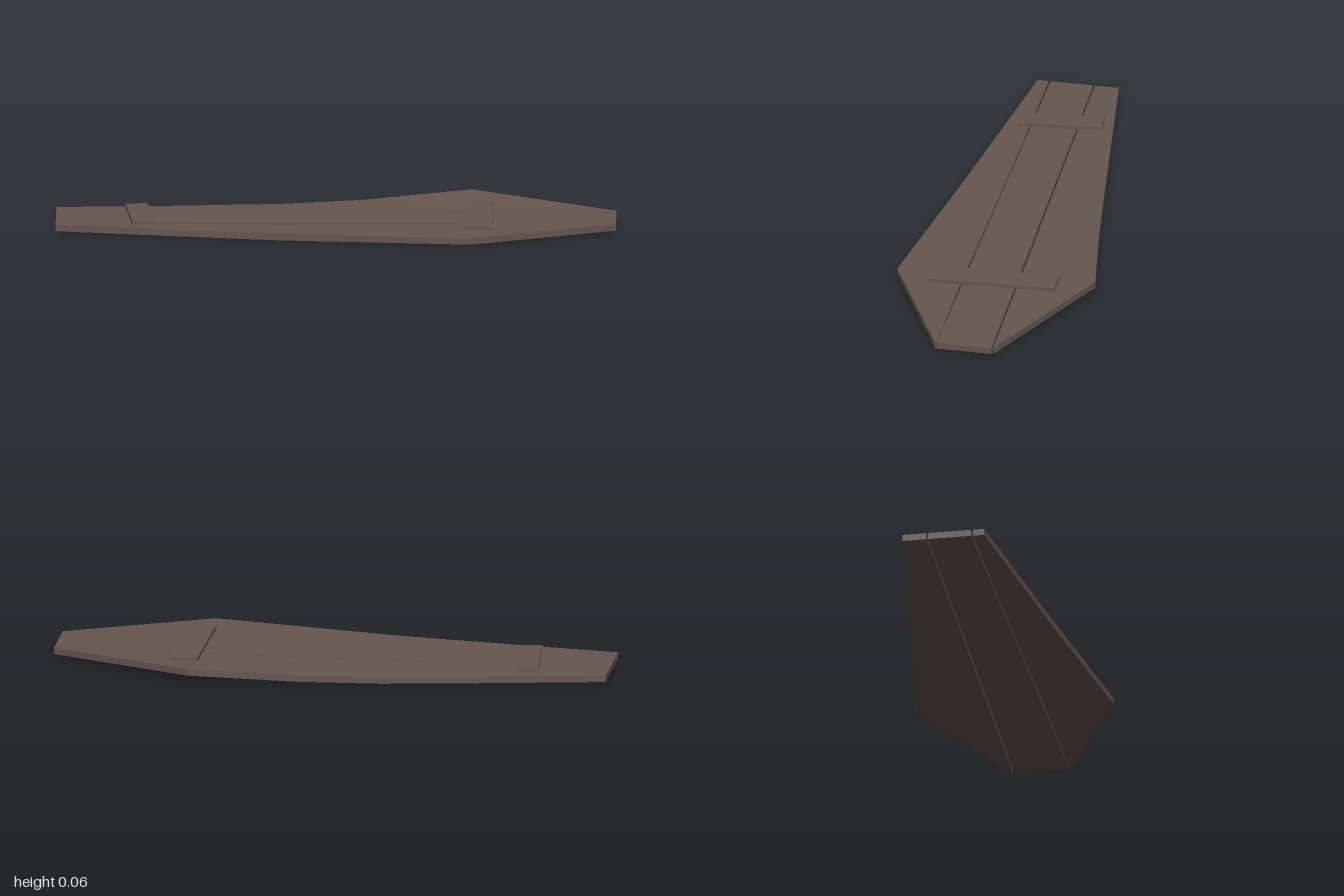
import * as THREE from 'three';

const THICK = 0.024;

// Plank lofted along x; each station is [x, zBack, zFront, yBack, yFront] (y of the underside)
function plank(name, stations, material) {
  const rings = stations.map(([x, zb, zf, yb, yf]) => [
    [x, yb, zb], [x, yf, zf], [x, yf + THICK, zf], [x, yb + THICK, zb],
  ]);
  const pos = [];
  const quad = (a, b, c, d) => pos.push(...a, ...b, ...c, ...a, ...c, ...d);
  for (let i = 0; i < rings.length - 1; i++) {
    const p = rings[i], q = rings[i + 1];
    for (let k = 0; k < 4; k++) {
      const n = (k + 1) % 4;
      quad(p[n], p[k], q[k], q[n]);
    }
  }
  const s = rings[0], e = rings[rings.length - 1];
  quad(s[0], s[1], s[2], s[3]);
  quad(e[3], e[2], e[1], e[0]);
  const geo = new THREE.BufferGeometry();
  geo.setAttribute('position', new THREE.Float32BufferAttribute(pos, 3));
  geo.computeVertexNormals();
  const mesh = new THREE.Mesh(geo, material);
  mesh.name = name;
  return mesh;
}

// Flat batten nailed across the planks
function batten(name, width, length, position, rotX, rotY, material) {
  const mesh = new THREE.Mesh(new THREE.BoxGeometry(width, 0.014, length), material);
  mesh.name = name;
  mesh.position.set(...position);
  mesh.rotation.set(rotX, rotY, 0);
  return mesh;
}

export function createModel() {
  const group = new THREE.Group();
  group.name = 'plankLid';
  const wood = new THREE.MeshStandardMaterial({ color: 0x665651 });
  wood.name = 'weathered wood';

  // Straight centre plank
  group.add(plank('centrePlank', [
    [-1, -0.055, 0.1, 0.012, 0.012],
    [1, -0.092, 0.107, 0.012, 0.012],
  ], wood));

  // Back plank, warped upward at its widest corner
  group.add(plank('backPlank', [
    [-1, -0.148, -0.061, 0.012, 0.012],
    [-0.6, -0.202, -0.069, 0.006, 0.012],
    [-0.2, -0.257, -0.077, 0.002, 0.012],
    [0.1, -0.3, -0.083, 0.009, 0.012],
    [0.48, -0.365, -0.09, 0.034, 0.012],
    [1, -0.102, -0.098, 0.014, 0.012],
  ], wood));

  // Front plank, sagging slightly in the middle
  group.add(plank('frontPlank', [
    [-1, 0.107, 0.148, 0.012, 0.012],
    [-0.6, 0.108, 0.204, 0.008, 0.008],
    [-0.2, 0.109, 0.26, 0.005, 0.005],
    [0.1, 0.11, 0.302, 0.008, 0.008],
    [0.485, 0.112, 0.356, 0.012, 0.012],
    [1, 0.109, 0.113, 0.012, 0.012],
  ], wood));

  // Cross battens: a tilted wide one and a skewed narrow one
  group.add(batten('wideBatten', 0.098, 0.462, [0.512, 0.048, 0], 0.024, 0, wood));
  group.add(batten('narrowBatten', 0.08, 0.298, [-0.7, 0.043, -0.002], 0, 0.1, wood));

  return group;
}
